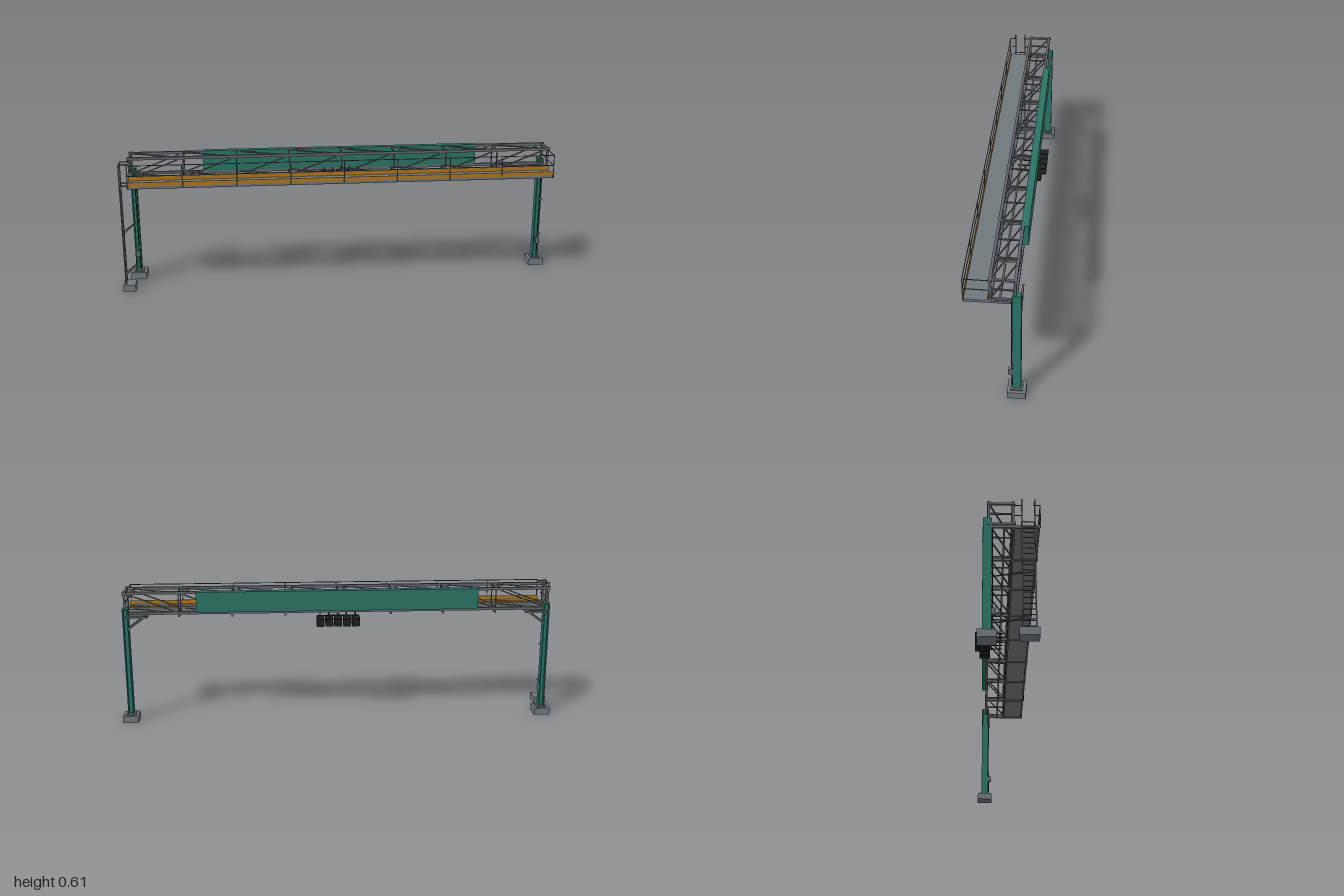
import * as THREE from 'three';

const mat = (name, color, side = THREE.FrontSide) => {
  const m = new THREE.MeshStandardMaterial({ color, side });
  m.name = name;
  return m;
};

export function createModel() {
  const root = new THREE.Group();
  root.name = 'gantry';
  const green = mat('greenPaint', 0x2d7364);
  const steel = mat('steel', 0x62666b);
  const concrete = mat('concrete', 0x70787c);
  const amber = mat('amber', 0xae7620);
  const black = mat('black', 0x1d2021);
  const rail = mat('railSteel', 0x58605c);

  const group = (name, parent = root) => {
    const g = new THREE.Group();
    g.name = name;
    parent.add(g);
    return g;
  };
  // box given by its minimum and maximum on each axis
  const box = (g, name, m, x0, x1, y0, y1, z0, z1) => {
    const mesh = new THREE.Mesh(new THREE.BoxGeometry(x1 - x0, y1 - y0, z1 - z0), m);
    mesh.position.set((x0 + x1) / 2, (y0 + y1) / 2, (z0 + z1) / 2);
    mesh.name = name;
    g.add(mesh);
    return mesh;
  };
  // square bar or round rod between two points
  const bar = (g, name, m, a, b, w, round = false) => {
    const A = new THREE.Vector3(...a), B = new THREE.Vector3(...b);
    const len = A.distanceTo(B);
    const geo = round ? new THREE.CylinderGeometry(w / 2, w / 2, len, 8) : new THREE.BoxGeometry(w, len, w);
    const mesh = new THREE.Mesh(geo, m);
    mesh.position.copy(A).add(B).multiplyScalar(0.5);
    mesh.quaternion.setFromUnitVectors(new THREE.Vector3(0, 1, 0), B.sub(A).normalize());
    mesh.name = name;
    g.add(mesh);
    return mesh;
  };

  const X0 = -0.95, X1 = 0.965, BAYS = 8;
  const nodes = Array.from({ length: BAYS + 1 }, (_, i) => X0 + ((X1 - X0) * i) / BAYS);
  const ZF = 0.023, ZB = -0.073, YB = 0.506, YT = 0.599;

  // H-section columns on stepped footings
  for (const [name, x, inward] of [['rightColumn', -0.944, 1], ['leftColumn', 0.962, -1]]) {
    const g = group(name);
    box(g, 'footing', concrete, x - 0.036, x + 0.036, 0, 0.032, -0.115, -0.04);
    box(g, 'basePlate', steel, x - 0.023, x + 0.023, 0.032, 0.038, -0.102, -0.052);
    for (const s of [-1, 1]) {
      const c = x + s * 0.0105;
      box(g, 'flange', green, c - 0.0025, c + 0.0025, 0.036, 0.53, -0.095, -0.06);
    }
    box(g, 'web', green, x - 0.009, x + 0.009, 0.036, 0.53, -0.08, -0.075);
    box(g, 'capPlate', green, x - 0.013, x + 0.013, 0.527, 0.531, -0.095, -0.06);
    // paired knee braces
    for (const z of [-0.062, -0.093]) {
      bar(g, 'kneeBrace', steel, [x + inward * 0.01, 0.438, z], [x + inward * 0.085, 0.493, z], 0.008);
      bar(g, 'kneeBeam', steel, [x, 0.493, z], [x + inward * 0.1, 0.493, z], 0.008);
    }
    // conduit, clips and junction box
    bar(g, 'conduit', black, [x + 0.006, 0.05, -0.057], [x + 0.006, 0.515, -0.057], 0.004, true);
    for (const y of [0.155, 0.33]) box(g, 'clip', steel, x + 0.002, x + 0.018, y - 0.003, y + 0.003, -0.063, -0.055);
    box(g, 'junctionBox', steel, x - 0.006, x + 0.012, 0.11, 0.138, -0.06, -0.043);
  }

  // box truss: chords, frames and lacing
  const truss = group('truss');
  for (const z of [ZF, ZB]) for (const y of [YB, YT])
    box(truss, 'chord', steel, X0 - 0.005, X1 + 0.005, y - 0.006, y + 0.006, z - 0.006, z + 0.006);
  nodes.forEach((x, i) => {
    const end = i === 0 || i === BAYS;
    const w = end ? 0.009 : 0.005;
    for (const z of [ZF, ZB]) bar(truss, 'post', steel, [x, YB, z], [x, YT, z], w);
    for (const y of [YB, YT]) bar(truss, 'crossBar', steel, [x, y, ZF], [x, y, ZB], w);
    if (end) {
      bar(truss, 'endMidBar', steel, [x, 0.553, ZF], [x, 0.553, ZB], 0.006);
      for (const z of [ZF, ZB]) for (const y of [YB, YT])
        box(truss, 'nodeBlock', steel, x - 0.008, x + 0.008, y - 0.007, y + 0.007, z - 0.007, z + 0.007);
    }
    if (i === BAYS) return;
    const n = nodes[i + 1];
    for (const z of [ZF, ZB]) bar(truss, 'sideDiagonal', steel, [x, YB, z], [n, YT, z], 0.005);
    for (const y of [YB, YT]) bar(truss, 'lacing', steel, [x, y, ZB], [n, y, ZF], 0.005);
  });

  // walkway deck, joists and toe boards
  const walkway = group('walkway');
  box(walkway, 'deck', concrete, -0.955, 0.97, 0.492, 0.5, 0.02, 0.126);
  for (const z of [0.122, 0.026, -0.012]) box(walkway, 'stringer', steel, -0.955, 0.97, 0.487, 0.497, z - 0.004, z + 0.004);
  for (const x of nodes) box(walkway, 'joist', steel, x - 0.004, x + 0.004, 0.487, 0.499, -0.075, 0.126);
  for (const z of [0.126, 0.032]) box(walkway, 'toeBoard', amber, -0.955, 0.97, 0.499, 0.518, z - 0.0015, z + 0.0015);

  // handrail along the front, returning at the ends
  const handrail = group('handrail');
  for (const x of nodes) bar(handrail, 'railPost', rail, [x, 0.49, 0.128], [x, 0.595, 0.128], 0.004, true);
  for (const y of [0.547, 0.594]) {
    bar(handrail, 'longRail', rail, [X0, y, 0.128], [X1, y, 0.128], 0.004, true);
    bar(handrail, 'endRail', rail, [X1, y, 0.128], [X1, y, 0.03], 0.004, true);
    for (const [a, b] of [[0.128, 0.105], [0.055, 0.03]])
      bar(handrail, 'accessRail', rail, [X0, y, a], [X0, y, b], 0.004, true);
  }

  // access ladder with stand-offs to the column
  const ladder = group('ladder');
  const LX = -0.988;
  box(ladder, 'footing', concrete, -1, -0.945, 0, 0.032, 0.042, 0.118);
  for (const z of [0.055, 0.105]) {
    bar(ladder, 'stile', rail, [LX, 0.03, z], [LX, 0.594, z], 0.005);
    for (const y of [0.497, 0.594]) bar(ladder, 'topTie', rail, [LX, y, z], [X0, y, z], 0.005);
    for (const y of [0.072, 0.27]) bar(ladder, 'standOff', rail, [LX, y, z], [-0.95, y, -0.062], 0.004, true);
  }
  for (let i = 0; i < 20; i++) {
    const y = 0.04 + i * 0.0238;
    bar(ladder, 'rung', rail, [LX, y, 0.055], [LX, y, 0.105], 0.004, true);
  }

  // sign panel on the rear face
  box(root, 'signPanel', green, -0.625, 0.645, 0.512, 0.605, -0.097, -0.066);

  // row of five hooded signal lamps below the panel
  const lamps = group('signalLamps');
  bar(lamps, 'hangerRail', black, [-0.085, 0.485, -0.075], [0.105, 0.485, -0.075], 0.005);
  for (let i = 0; i < 5; i++) {
    const x = -0.07 + i * 0.04;
    box(lamps, 'housing', black, x - 0.017, x + 0.017, 0.441, 0.478, -0.108, -0.058);
    box(lamps, 'hood', black, x - 0.017, x + 0.017, 0.478, 0.482, -0.13, -0.058);
    bar(lamps, 'bracketArm', black, [x, 0.484, 0], [x, 0.481, -0.1], 0.004);
    bar(lamps, 'hanger', black, [x, 0.476, -0.062], [x, 0.515, -0.062], 0.004);
  }
  return root;
}
